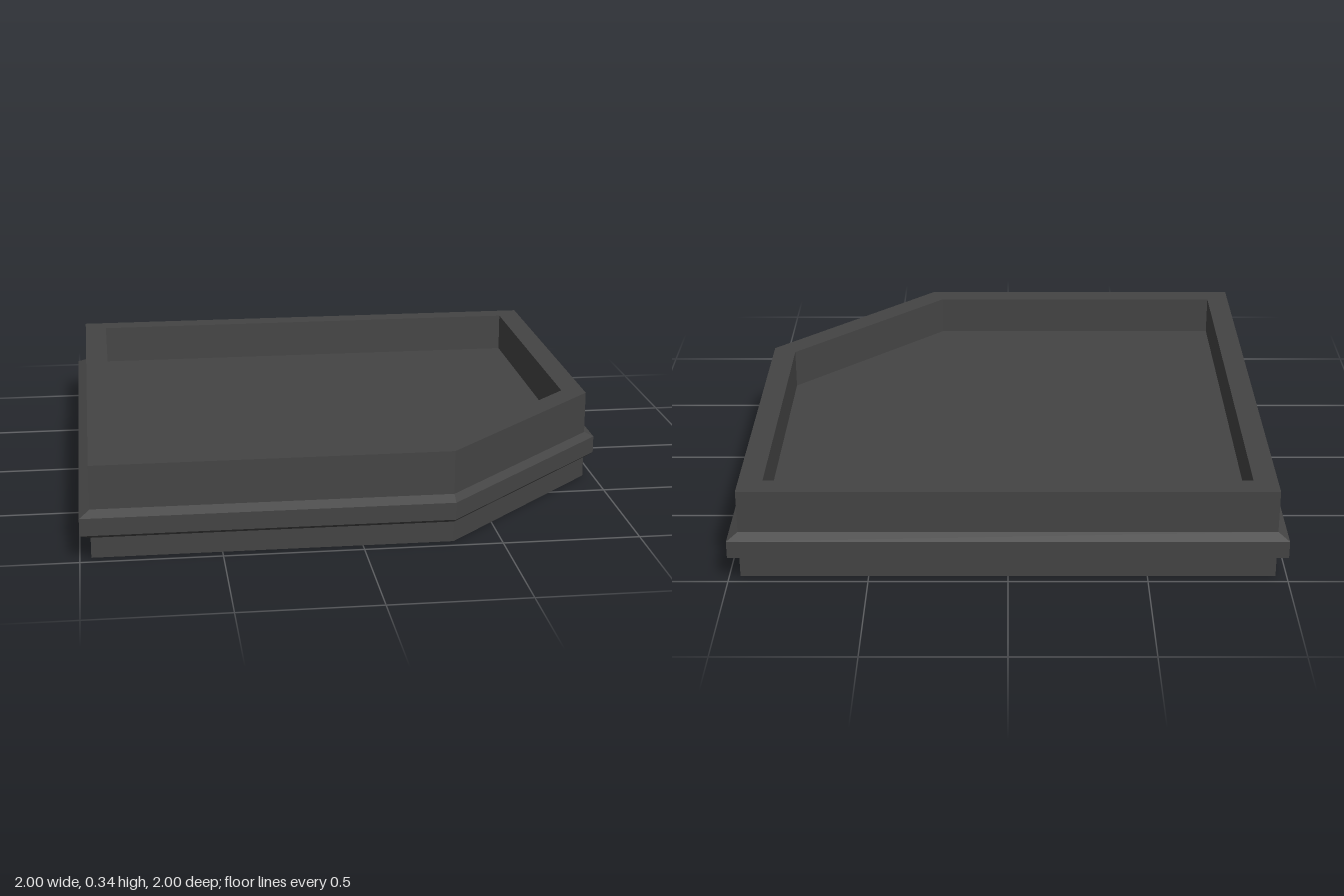
import * as THREE from 'three';

// Square outline with one corner cut off, counterclockwise seen from above.
// s = half width, c = where the cut begins
function outline([s, c, y]) {
  return [[-s, -s], [-s, s], [c, s], [s, c], [s, -s]].map(([x, z]) => [x, y, z]);
}

// Joins successive outlines with flat bands; optional caps close the ends.
function loft(rings, { capStart = false, capEnd = false } = {}) {
  const pos = [];
  const loops = rings.map(outline);
  const tri = (a, b, c) => pos.push(...a, ...b, ...c);
  for (let r = 0; r < loops.length - 1; r++) {
    const lo = loops[r], hi = loops[r + 1];
    for (let i = 0; i < lo.length; i++) {
      const j = (i + 1) % lo.length;
      tri(lo[i], lo[j], hi[j]);
      tri(lo[i], hi[j], hi[i]);
    }
  }
  const first = loops[0], last = loops[loops.length - 1];
  for (let i = 1; i < first.length - 1; i++) {
    if (capStart) tri(first[0], first[i + 1], first[i]);
    if (capEnd) tri(last[0], last[i], last[i + 1]);
  }
  const geo = new THREE.BufferGeometry();
  geo.setAttribute('position', new THREE.Float32BufferAttribute(pos, 3));
  geo.computeVertexNormals();
  return geo;
}

export function createModel() {
  const group = new THREE.Group();
  const charcoal = new THREE.MeshStandardMaterial({ color: 0x444444 });
  charcoal.name = 'charcoal';

  const add = (name, geo) => {
    const mesh = new THREE.Mesh(geo, charcoal);
    mesh.name = name;
    group.add(mesh);
  };

  const wall = [0.96, 0.327];
  const rib = [0.998, 0.327];
  const inner = [0.873, 0.285];

  // Plinth below the rib, closed underneath
  add('base', loft([[...wall, 0], [...wall, 0.075]], { capStart: true }));
  // Bevelled band running around the outside
  add('rib', loft([[...wall, 0.075], [...rib, 0.096], [...rib, 0.16], [...wall, 0.18]]));
  // Raised wall: outer face, flat rim, inner face and sunken floor
  add('trayWall', loft([[...wall, 0.18], [...wall, 0.34], [...inner, 0.34], [...inner, 0.19]]));
  add('trayFloor', loft([[...inner, 0.19]], { capEnd: true }));

  return group;
}
